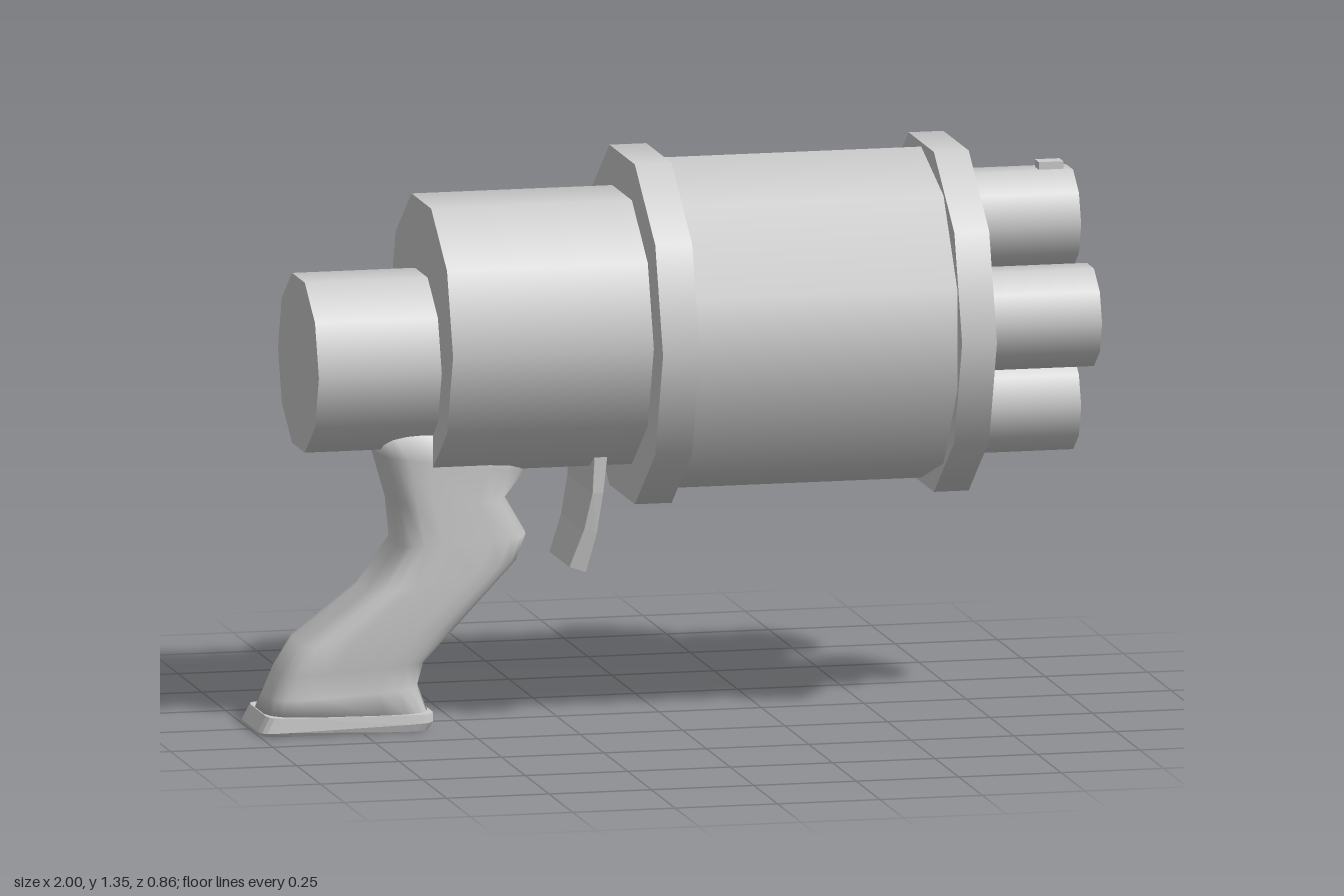
import * as THREE from 'three';
import { mergeGeometries } from 'three/addons/utils/BufferGeometryUtils.js';

const SIDES = 10;
const AXIS_Y = 0.94;
const mat = new THREE.MeshStandardMaterial({ color: 0xcccccc });
const matDouble = new THREE.MeshStandardMaterial({ color: 0xcccccc, side: THREE.DoubleSide });

function add(group, name, geometry, material = mat) {
  const mesh = new THREE.Mesh(geometry, material);
  mesh.name = name;
  group.add(mesh);
  return mesh;
}

// Ten-sided cylinder lying along x, from x0 to x1
function drum(x0, x1, y, z, r, open = false, turn = 0) {
  return new THREE.CylinderGeometry(r, r, x1 - x0, SIDES, 1, open, turn)
    .rotateZ(-Math.PI / 2)
    .translate((x0 + x1) / 2, y, z);
}

// Hollow ten-sided tube with a flat rim at its +x end
function pipe(x0, x1, y, z, rOut, rIn) {
  const rim = new THREE.RingGeometry(rIn, rOut, SIDES).rotateY(Math.PI / 2).translate(x1, y, z);
  const bore = drum(x0, x1, y, z, rIn, true);
  // turn the bore inside out
  const idx = bore.index.array;
  for (let i = 0; i < idx.length; i += 3) [idx[i], idx[i + 1]] = [idx[i + 1], idx[i]];
  const n = bore.attributes.normal;
  for (let i = 0; i < n.count; i++) n.setXYZ(i, -n.getX(i), -n.getY(i), -n.getZ(i));
  return mergeGeometries([drum(x0, x1, y, z, rOut, true), bore, rim]);
}

// Loft through rounded-rectangle sections [backX, backY, frontX, frontY, halfWidth], top to bottom
function loft(sections, power, count = 20) {
  const pos = [], index = [];
  const soft = (v) => Math.sign(v) * Math.pow(Math.abs(v), 2 / power);
  for (const [bx, by, fx, fy, w] of sections) {
    for (let i = 0; i < count; i++) {
      const a = ((i + 0.5) / count) * Math.PI * 2;
      const t = (soft(Math.cos(a)) + 1) / 2;
      pos.push(bx + (fx - bx) * t, by + (fy - by) * t, 0.005 + w * soft(Math.sin(a)));
    }
  }
  for (let s = 0; s < sections.length - 1; s++) {
    for (let i = 0; i < count; i++) {
      const a = s * count + i, b = s * count + ((i + 1) % count);
      index.push(a, b, a + count, b, b + count, a + count);
    }
  }
  // end caps
  const last = (sections.length - 1) * count;
  for (let i = 1; i < count - 1; i++) {
    index.push(0, i + 1, i);
    index.push(last, last + i, last + i + 1);
  }
  const g = new THREE.BufferGeometry();
  g.setAttribute('position', new THREE.Float32BufferAttribute(pos, 3));
  g.setIndex(index);
  g.computeVertexNormals();
  return g;
}

export function createModel() {
  const model = new THREE.Group();
  model.name = 'fourBarrelBlaster';

  // Body drums, back to front
  add(model, 'rearCap', drum(-0.88, -0.57, 0.88, 0, 0.216));
  add(model, 'rearBody', drum(-0.58, -0.08, AXIS_Y, 0, 0.335));
  add(model, 'rearFlange', drum(-0.09, 0, AXIS_Y, 0, 0.432));
  add(model, 'mainDrum', drum(-0.01, 0.65, AXIS_Y, 0, 0.4, false, Math.PI / SIDES));
  add(model, 'frontFlange', drum(0.64, 0.725, AXIS_Y, 0, 0.432));

  // Four barrels and the ring that joins them
  const barrels = new THREE.Group();
  barrels.name = 'barrels';
  model.add(barrels);
  for (const [y, z] of [[1.16, 0.008], [0.72, 0.008], [0.96, 0.228], [0.96, -0.213]]) {
    add(barrels, 'barrel', pipe(0.72, 1, y, z, 0.124, 0.104));
  }
  add(model, 'barrelRing', pipe(0.72, 0.757, 0.96, 0.005, 0.255, 0.212));
  add(model, 'frontSight', new THREE.BoxGeometry(0.06, 0.04, 0.042)).position.set(0.95, 1.276, 0.01);

  // Curved, tapering trigger plate
  const trigger = loft([
    [-0.19, 0.67, -0.155, 0.67, 0.135],
    [-0.195, 0.56, -0.167, 0.56, 0.132],
    [-0.213, 0.47, -0.18, 0.46, 0.12],
    [-0.245, 0.38, -0.203, 0.365, 0.105],
  ], 30).toNonIndexed();
  trigger.computeVertexNormals();
  add(model, 'trigger', trigger);

  // Swept grip with a base plate
  add(model, 'grip', loft([
    [-0.71, 0.72, -0.29, 0.7, 0.12],
    [-0.695, 0.66, -0.335, 0.615, 0.12],
    [-0.66, 0.54, -0.39, 0.55, 0.12],
    [-0.65, 0.44, -0.338, 0.46, 0.124],
    [-0.73, 0.33, -0.36, 0.4, 0.125],
    [-0.89, 0.21, -0.5, 0.25, 0.124],
    [-0.935, 0.14, -0.585, 0.16, 0.115],
    [-0.962, 0.08, -0.6, 0.1, 0.11],
    [-0.98, 0.04, -0.575, 0.035, 0.12],
  ], 4), matDouble);
  const base = loft([
    [-0.98, 0.045, -0.572, 0.04, 0.124],
    [-1, 0.008, -0.572, 0.02, 0.126],
    [-0.996, 0, -0.585, 0, 0.12],
  ], 9).toNonIndexed();
  base.computeVertexNormals();
  add(model, 'gripBase', base);

  return model;
}
